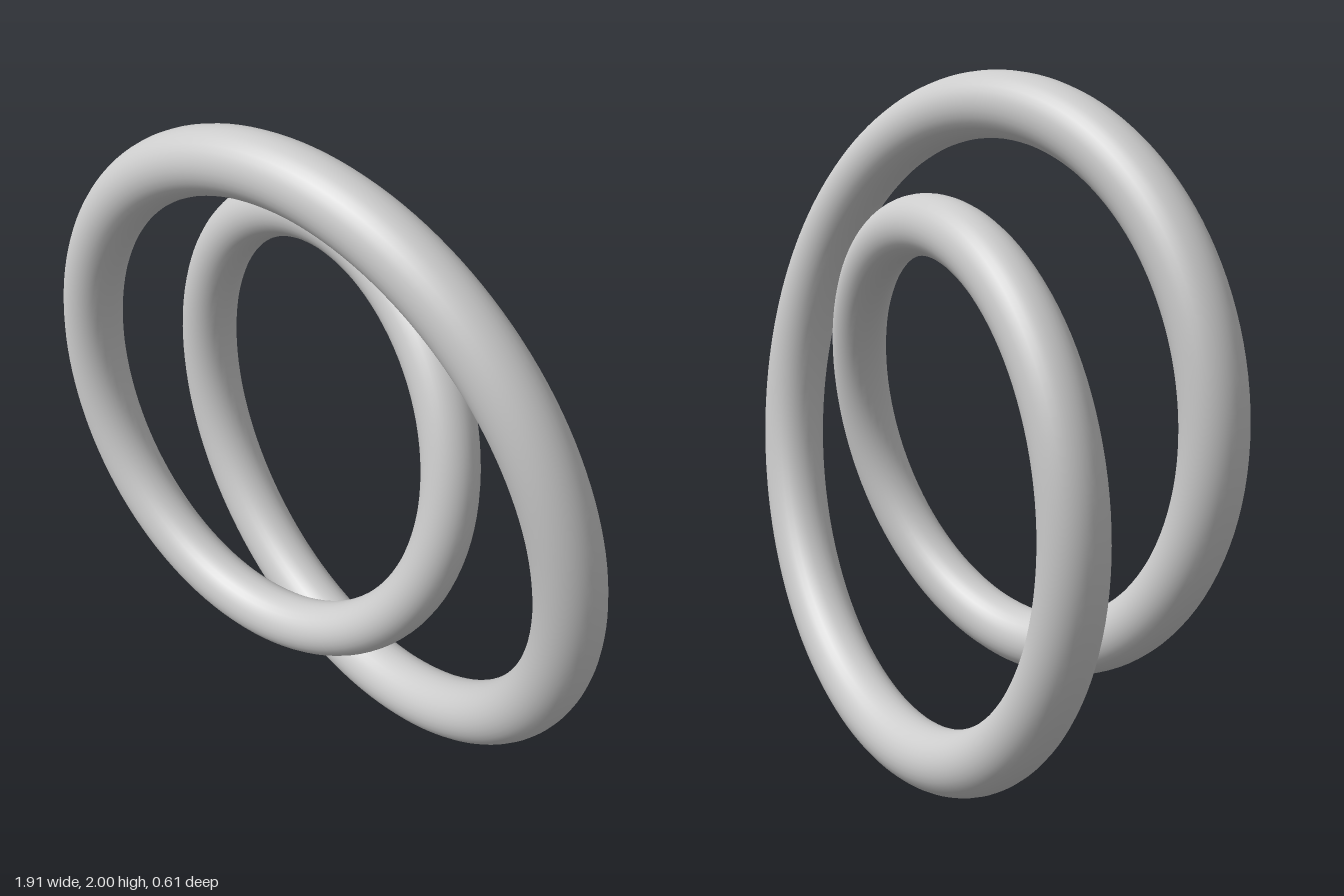
import * as THREE from 'three';

const RING = 0.75;    // mean radius of the double loop
const SWING = 0.22;   // how far the path winds around that ring
const TUBE = 0.0875;  // mean tube radius
const SWELL = 0.0075; // tube is thicker on the outer loop, thinner on the inner

// Closed path: two turns round the ring, one turn round its core
class DoubleLoop extends THREE.Curve {
  getPoint(t, target = new THREE.Vector3()) {
    const u = t * Math.PI * 4;
    const r = RING + SWING * Math.cos(u / 2);
    return target.set(r * Math.cos(u), r * Math.sin(u), SWING * Math.sin(u / 2));
  }
}

export function createModel() {
  const group = new THREE.Group();
  group.name = 'doubleLoopKnot';

  const geometry = new THREE.TubeGeometry(new DoubleLoop(), 256, TUBE, 32, true);

  // Vary the tube thickness with the distance of the path from the ring axis
  const pos = geometry.attributes.position;
  const nor = geometry.attributes.normal;
  const p = new THREE.Vector3();
  const n = new THREE.Vector3();
  for (let i = 0; i < pos.count; i++) {
    p.fromBufferAttribute(pos, i);
    n.fromBufferAttribute(nor, i);
    p.addScaledVector(n, -TUBE);
    const outward = (Math.hypot(p.x, p.y) - RING) / SWING;
    p.addScaledVector(n, TUBE + SWELL * outward);
    pos.setXYZ(i, p.x, p.y, p.z);
  }

  const tube = new THREE.Mesh(geometry, new THREE.MeshStandardMaterial({ color: 0xcccccc }));
  tube.name = 'loopedTube';
  tube.position.set(-0.115, 1, 0);
  group.add(tube);
  return group;
}
